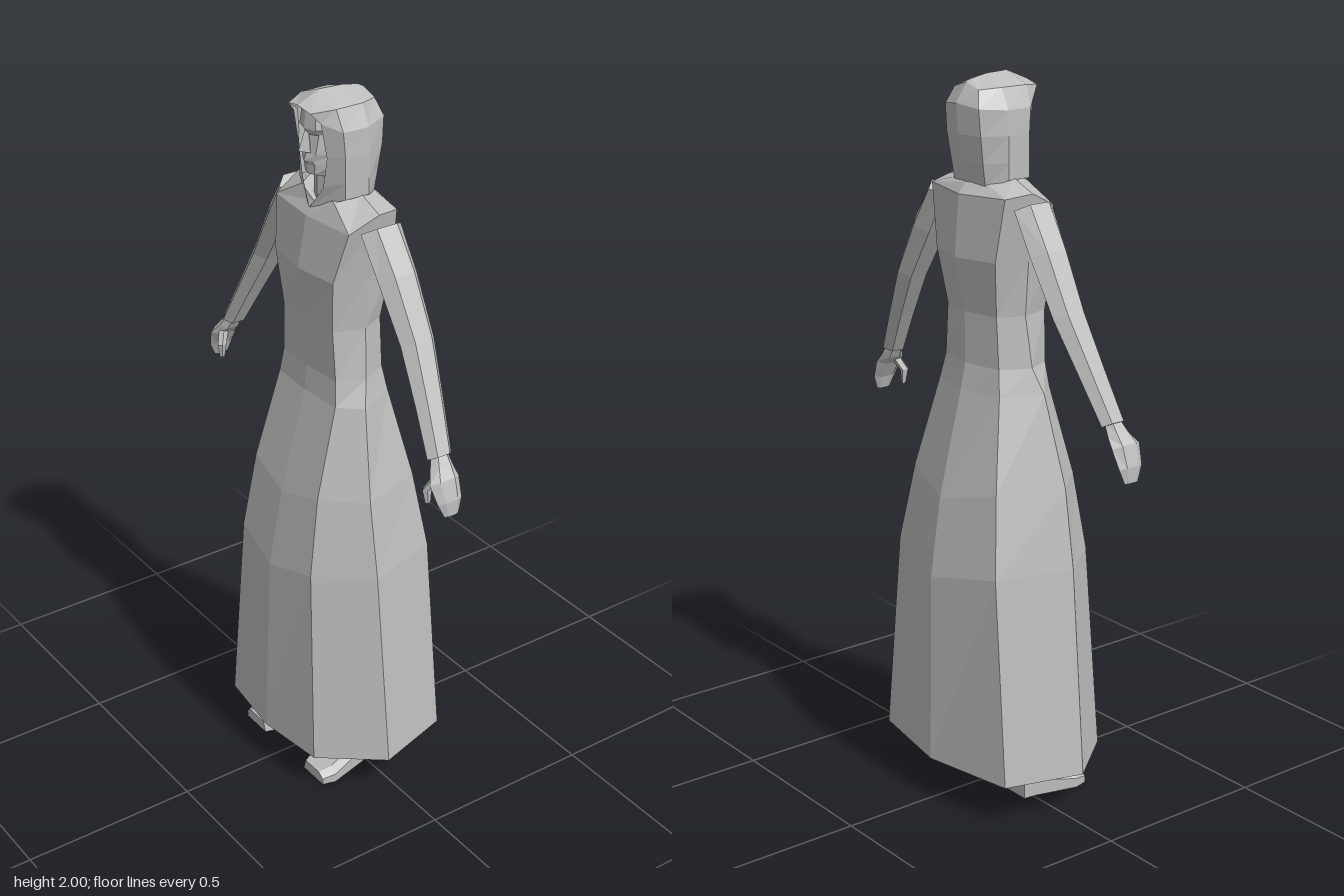
import * as THREE from 'three';

// Joins rings of [x, y, z] points into a faceted skin, with optional end caps.
function loft(rings, { closed = true, capStart = false, capEnd = false } = {}) {
  const pos = [];
  const tri = (a, b, c) => pos.push(...a, ...b, ...c);
  const n = rings[0].length;
  for (let r = 0; r < rings.length - 1; r++) {
    for (let i = 0; i < (closed ? n : n - 1); i++) {
      const j = (i + 1) % n;
      const a = rings[r][i], b = rings[r][j], c = rings[r + 1][j], d = rings[r + 1][i];
      tri(a, b, c);
      tri(a, c, d);
    }
  }
  const last = rings[rings.length - 1];
  for (let i = 1; i < n - 1; i++) {
    if (capStart) tri(rings[0][0], rings[0][i + 1], rings[0][i]);
    if (capEnd) tri(last[0], last[i], last[i + 1]);
  }
  const geo = new THREE.BufferGeometry();
  geo.setAttribute('position', new THREE.Float32BufferAttribute(pos, 3));
  geo.computeVertexNormals();
  return geo;
}

// Half section from front centre to back centre, mirrored into a full ring.
function mirrorRing(y, half) {
  const pts = half.map(([x, z, dy = 0]) => [x, y + dy, z]);
  const other = pts.slice(1, -1).reverse().map(([x, py, z]) => [-x, py, z]);
  return [...pts, ...other];
}

// Limb rings around a path in the xy plane: [x, y, z, halfThickness, halfDepth].
function limbRings(path, sides = 6) {
  return path.map(([x, y, z, hu, hz], k) => {
    const p = path[Math.max(k - 1, 0)], q = path[Math.min(k + 1, path.length - 1)];
    const len = Math.hypot(q[0] - p[0], q[1] - p[1]);
    const ux = (q[1] - p[1]) / len, uy = -(q[0] - p[0]) / len;
    return Array.from({ length: sides }, (_, i) => {
      const t = (i / sides) * Math.PI * 2;
      const u = Math.sin(t) * hu;
      return [x + ux * u, y + uy * u, z + Math.cos(t) * hz];
    });
  });
}

export function createModel() {
  const model = new THREE.Group();
  model.name = 'robedFigure';
  const grey = new THREE.MeshStandardMaterial({ color: 0xbdbdbd, flatShading: true, side: THREE.DoubleSide });
  grey.name = 'grey';
  const add = (parent, name, geo) => {
    const mesh = new THREE.Mesh(geo, grey);
    mesh.name = name;
    parent.add(mesh);
  };

  // Long dress: eight-sided, open at the hem, closing over the shoulders
  add(model, 'dress', loft([
    mirrorRing(0.12, [[0, 0.23], [0.205, 0.205], [0.335, 0.04], [0.27, -0.18], [0, -0.23]]),
    mirrorRing(0.70, [[0, 0.208, -0.04], [0.165, 0.185], [0.278, 0.045], [0.215, -0.17], [0, -0.222, -0.04]]),
    mirrorRing(0.92, [[0, 0.165, -0.04], [0.148, 0.15], [0.242, 0.045], [0.18, -0.14], [0, -0.19, -0.04]]),
    mirrorRing(1.17, [[0, 0.088], [0.13, 0.08], [0.182, 0.02], [0.13, -0.09], [0, -0.118]]),
    mirrorRing(1.24, [[0, 0.08], [0.12, 0.072], [0.155, 0], [0.115, -0.08], [0, -0.103]]),
    mirrorRing(1.38, [[0, 0.086], [0.112, 0.076], [0.138, -0.01], [0.105, -0.08], [0, -0.104]]),
    mirrorRing(1.53, [[0, 0.106], [0.13, 0.088], [0.15, -0.01], [0.125, -0.1], [0, -0.135]]),
    mirrorRing(1.67, [[0, 0.08], [0.162, 0.062], [0.178, -0.02, 0.04], [0.155, -0.092, 0.03], [0, -0.122, 0.025]]),
    mirrorRing(1.725, [[0, 0.055, -0.02], [0.07, 0.045], [0.1, -0.02, 0.015], [0.07, -0.08], [0, -0.1]]),
  ], { capEnd: true }));

  // Head and neck
  const back = [[0.045, -0.05], [0, -0.08]];
  add(model, 'head', loft([
    mirrorRing(1.69, [[0, 0.045], [0.03, 0.035], [0.045, 0], ...back]),
    mirrorRing(1.775, [[0, 0.045], [0.028, 0.035], [0.048, 0], ...back]),
    mirrorRing(1.785, [[0, 0.074], [0.02, 0.068], [0.048, 0.015, 0.015], ...back]),
    mirrorRing(1.81, [[0, 0.076], [0.025, 0.068], [0.055, 0.02], ...back]),
    mirrorRing(1.822, [[0, 0.086], [0.022, 0.074], [0.057, 0.02], ...back]),
    mirrorRing(1.84, [[0, 0.078], [0.03, 0.07], [0.058, 0.02], ...back]),
    mirrorRing(1.89, [[0, 0.076], [0.03, 0.06], [0.06, 0.02], ...back]),
    mirrorRing(1.908, [[0, 0.084], [0.035, 0.074], [0.06, 0.02], ...back]),
    mirrorRing(1.965, [[0, 0.078], [0.03, 0.068], [0.05, 0.02], ...back]),
  ], { capEnd: true }));
  add(model, 'nose', loft([
    mirrorRing(1.843, [[0, 0.102, 0.006], [0.013, 0.074], [0, 0.065]]),
    mirrorRing(1.9, [[0, 0.083], [0.006, 0.075], [0, 0.065]]),
  ], { capStart: true, capEnd: true }));

  // Hood: rows run from the face opening round the side to the back centre
  const hoodRows = [
    [[0, 1.69, 0.07], [0.102, 1.735, 0.03], [0.105, 1.735, -0.04], [0.065, 1.715, -0.085], [0, 1.71, -0.095]],
    [[0.045, 1.755, 0.058], [0.102, 1.78, 0.03], [0.106, 1.78, -0.04], [0.068, 1.78, -0.095], [0, 1.78, -0.11]],
    [[0.062, 1.84, 0.058], [0.102, 1.85, 0.03], [0.106, 1.85, -0.04], [0.072, 1.85, -0.105], [0, 1.85, -0.123]],
    [[0.06, 1.935, 0.075], [0.1, 1.915, 0.035], [0.102, 1.915, -0.04], [0.07, 1.92, -0.11], [0, 1.93, -0.128]],
    [[0.048, 1.962, 0.098], [0.076, 1.97, 0.04], [0.076, 1.97, -0.04], [0.05, 1.965, -0.095], [0, 1.98, -0.095]],
    [[0, 1.972, 0.103], [0, 2, 0.035], [0, 1.997, -0.03], [0, 1.988, -0.08], [0, 1.98, -0.095]],
  ];
  add(model, 'hood', loft(hoodRows.map((row) => [
    ...row, ...row.slice(0, -1).reverse().map(([x, y, z]) => [-x, y, z]),
  ]), { closed: false }));

  // Limbs, built for the left side and mirrored to the right
  for (const side of [1, -1]) {
    const limbs = new THREE.Group();
    limbs.name = side > 0 ? 'leftLimbs' : 'rightLimbs';
    limbs.scale.x = side;
    model.add(limbs);

    add(limbs, 'sleeve', loft(limbRings([
      [0.475, 1.165, 0.003, 0.025, 0.038],
      [0.41, 1.285, -0.012, 0.029, 0.044],
      [0.335, 1.42, -0.027, 0.035, 0.052],
      [0.25, 1.565, -0.026, 0.041, 0.06],
      [0.182, 1.675, -0.022, 0.036, 0.062],
    ]), { capStart: true, capEnd: true }));

    add(limbs, 'hand', loft(limbRings([
      [0.54, 1.026, 0.01, 0.006, 0.022],
      [0.534, 1.065, 0.012, 0.012, 0.038],
      [0.512, 1.115, 0.014, 0.019, 0.046],
      [0.492, 1.14, 0.008, 0.02, 0.036],
      [0.472, 1.172, 0.003, 0.018, 0.026],
    ]), { capStart: true, capEnd: true }));

    add(limbs, 'thumb', loft(limbRings([
      [0.483, 1.045, 0.042, 0.005, 0.008],
      [0.48, 1.085, 0.044, 0.01, 0.014],
      [0.502, 1.13, 0.022, 0.012, 0.016],
    ], 5), { capStart: true, capEnd: true }));

    add(limbs, 'leg', loft(limbRings([
      [0.132, 0.05, -0.008, 0.038, 0.022],
      [0.13, 0.16, -0.008, 0.038, 0.028],
      [0.125, 0.36, -0.02, 0.055, 0.05],
      [0.12, 0.5, -0.005, 0.048, 0.045],
      [0.1, 0.88, 0, 0.08, 0.07],
    ]), { capStart: true, capEnd: true }));

    // Foot: cross-sections from heel to toe
    add(limbs, 'foot', loft([
      [-0.03, 0.092, 0.168, 0.1], [0.005, 0.092, 0.172, 0.078],
      [0.13, 0.088, 0.205, 0.045], [0.168, 0.1, 0.195, 0.032],
    ].map(([z, x0, x1, top]) => [
      [x0, 0, z], [x1, 0, z], [x1, top * 0.6, z], [x1 - 0.02, top, z], [x0 + 0.01, top, z],
    ]), { capStart: true, capEnd: true }));
  }
  return model;
}
